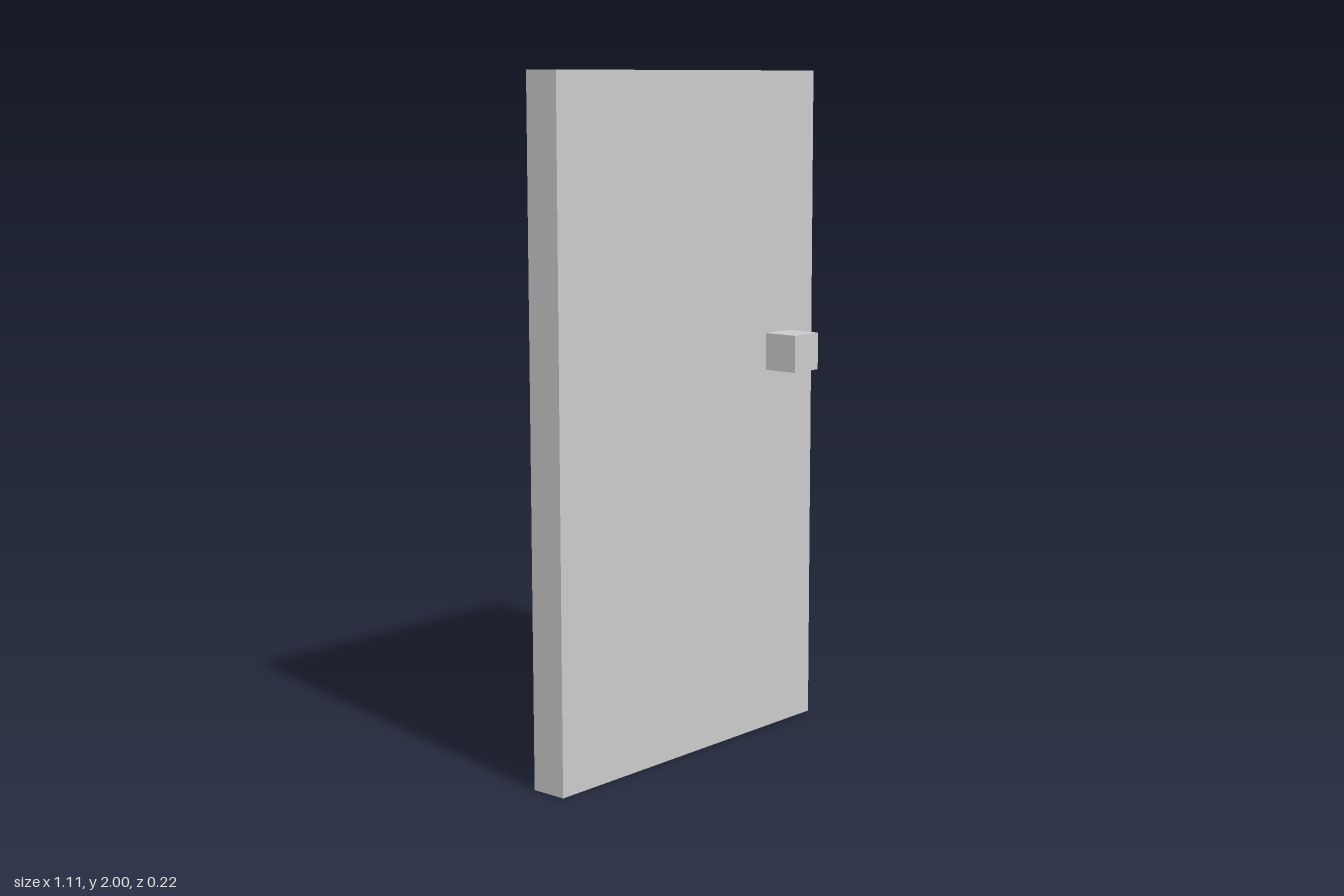
import * as THREE from 'three';

const U = 2 / 18; // module: the door is 18 units tall

export function createModel() {
  const group = new THREE.Group();
  group.name = 'door';
  const material = new THREE.MeshStandardMaterial({ color: 0xcccccc, flatShading: true });

  const addBox = (name, size, position) => {
    const mesh = new THREE.Mesh(new THREE.BoxGeometry(...size.map((s) => s * U)), material);
    mesh.position.set(...position.map((p) => p * U));
    mesh.name = name;
    group.add(mesh);
  };

  // Flat door slab, behind the z = 0 plane
  addBox('doorPanel', [10, 18, 1], [0, 9, -0.5]);
  // Cube knob on the front face
  addBox('doorKnob', [1, 1, 1], [3.5, 10.5, 0.5]);

  return group;
}
